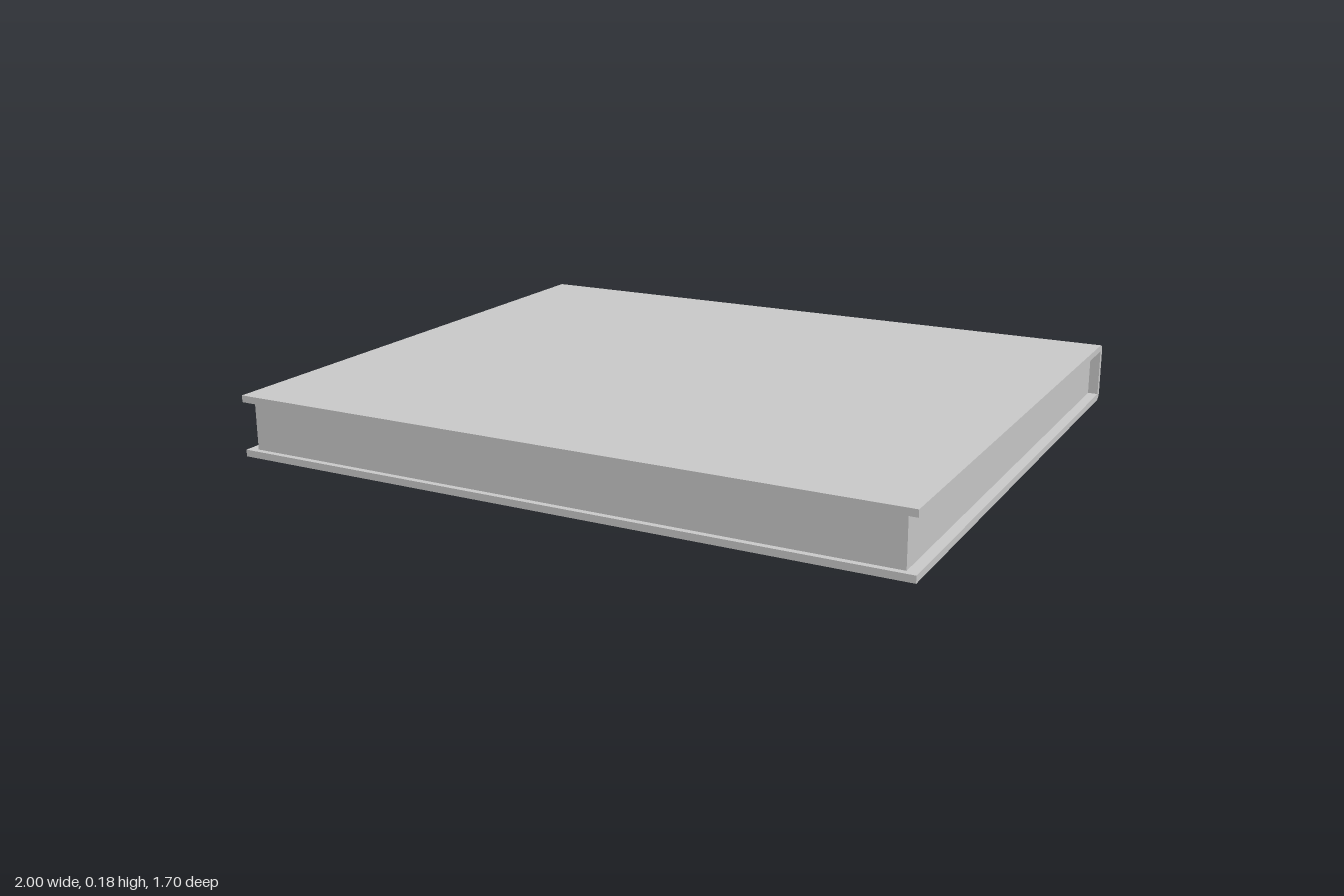
import * as THREE from 'three';

const WIDTH = 2, HEIGHT = 0.18, DEPTH = 0.85, BOARD = 0.02, CORNER = 0.024;

export function createModel() {
  const book = new THREE.Group();
  book.name = 'book';
  const material = new THREE.MeshStandardMaterial({ color: 0xcccccc });

  // Cover: C-shaped section (shape x = -z) with softened spine corners, extruded along x
  const section = new THREE.Shape();
  section.moveTo(-DEPTH, 0);
  section.lineTo(DEPTH - CORNER, 0);
  section.absarc(DEPTH - CORNER, CORNER, CORNER, -Math.PI / 2, 0, false);
  section.lineTo(DEPTH, HEIGHT - CORNER);
  section.absarc(DEPTH - CORNER, HEIGHT - CORNER, CORNER, 0, Math.PI / 2, false);
  section.lineTo(-DEPTH, HEIGHT);
  section.lineTo(-DEPTH, HEIGHT - BOARD);
  section.lineTo(DEPTH - BOARD, HEIGHT - BOARD);
  section.lineTo(DEPTH - BOARD, BOARD);
  section.lineTo(-DEPTH, BOARD);
  section.closePath();

  const coverGeometry = new THREE.ExtrudeGeometry(section, {
    depth: WIDTH, bevelEnabled: false, curveSegments: 3,
  });
  coverGeometry.translate(0, 0, -WIDTH / 2);
  coverGeometry.rotateY(Math.PI / 2);
  const cover = new THREE.Mesh(coverGeometry, material);
  cover.name = 'cover';

  // Page block: set back from the three open edges, meeting the spine
  const front = DEPTH - 0.017, back = -(DEPTH - BOARD);
  const pages = new THREE.Mesh(
    new THREE.BoxGeometry(WIDTH - 0.06, HEIGHT - 2 * BOARD, front - back), material);
  pages.position.set(0, HEIGHT / 2, (front + back) / 2);
  pages.name = 'pages';

  book.add(cover, pages);
  return book;
}
